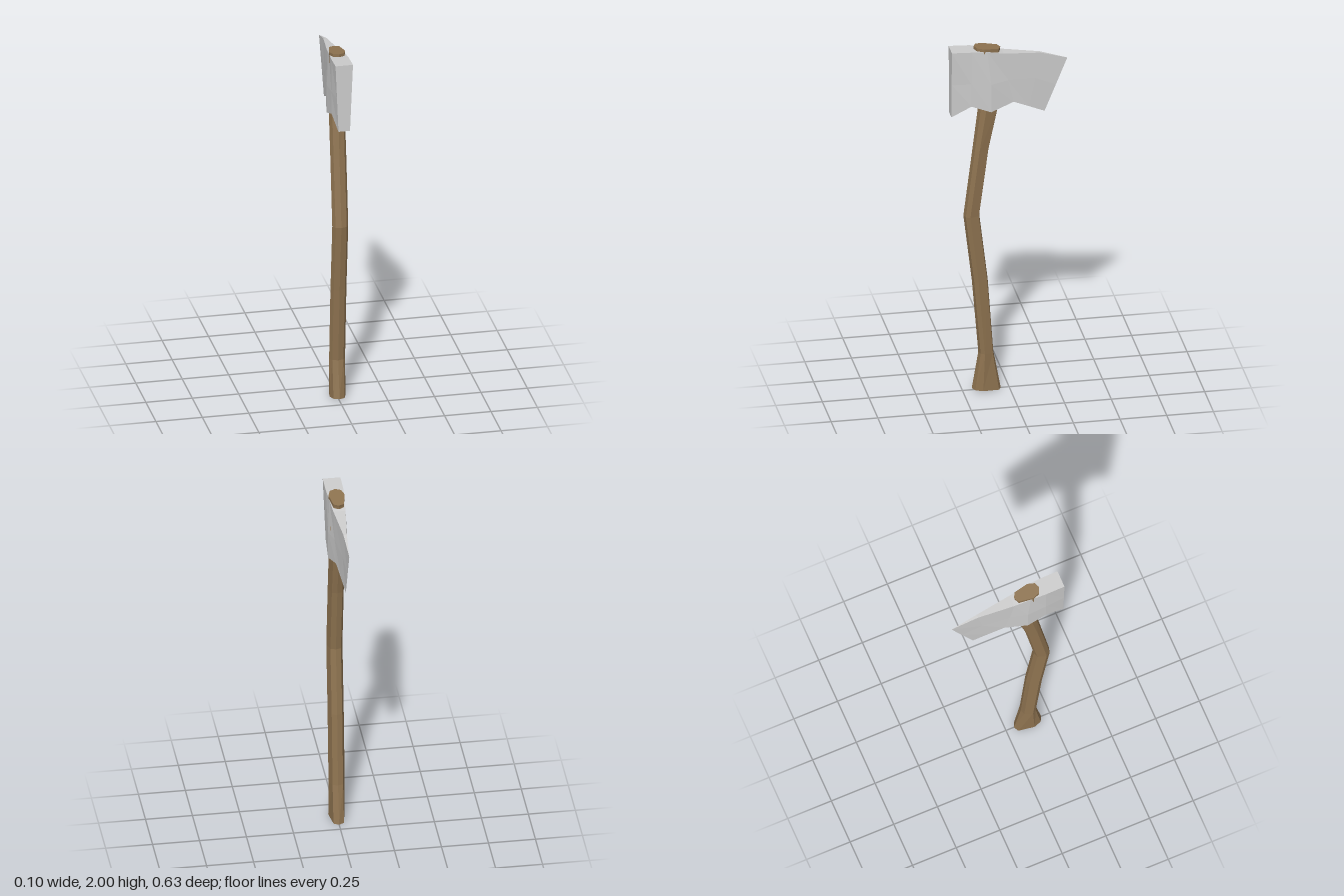
import * as THREE from 'three';

const wood = new THREE.MeshStandardMaterial({ color: 0x8e7350, flatShading: true });
const steel = new THREE.MeshStandardMaterial({ color: 0xcccccc, flatShading: true });

// Skin a row of equal-length rings into a faceted solid with closed ends.
function loft(rings) {
  const pos = [];
  const tri = (a, b, c) => pos.push(...a, ...b, ...c);
  const n = rings[0].length;
  for (let r = 0; r < rings.length - 1; r++) {
    const a = rings[r], b = rings[r + 1];
    for (let i = 0; i < n; i++) {
      const j = (i + 1) % n;
      tri(a[i], a[j], b[j]);
      tri(a[i], b[j], b[i]);
    }
  }
  const first = rings[0], last = rings[rings.length - 1];
  for (let i = 1; i < n - 1; i++) {
    tri(first[0], first[i + 1], first[i]);
    tri(last[0], last[i], last[i + 1]);
  }
  const geo = new THREE.BufferGeometry();
  geo.setAttribute('position', new THREE.Float32BufferAttribute(pos, 3));
  geo.computeVertexNormals();
  return geo;
}

function addPart(group, name, geometry, material) {
  const mesh = new THREE.Mesh(geometry, material);
  mesh.name = name;
  group.add(mesh);
}

export function createModel() {
  const axe = new THREE.Group();
  axe.name = 'axe';

  // Curved handle: egg-shaped octagon (x, share of depth from the back)
  const outline = [[0, 1], [0.03, 0.91], [0.043, 0.65], [0.028, 0.09],
    [0, 0], [-0.028, 0.09], [-0.043, 0.65], [-0.03, 0.91]];
  // Each station: front y, front z, back y, back z
  const stations = [
    [0.01, 0.20, 0, 0.045],
    [0.22, 0.165, 0.22, 0.085],
    [0.64, 0.20, 0.64, 0.115],
    [1.02, 0.245, 1.02, 0.16],
    [1.40, 0.197, 1.40, 0.11],
    [1.66, 0.165, 1.66, 0.055],
    [1.985, 0.19, 1.97, 0.05],
    [2.0, 0.19, 1.985, 0.047],
  ];
  const lerp = THREE.MathUtils.lerp;
  addPart(axe, 'handle', loft(stations.map(([yf, zf, yb, zb]) =>
    outline.map(([x, t]) => [x, lerp(yb, yf, t), lerp(zb, zf, t)]))), wood);

  // Head, poll to cutting edge: [z, y, half width] at top, middle and bottom
  const sections = [
    [[0.315, 1.99, 0.047], [0.315, 1.80, 0.039], [0.315, 1.61, 0.031]],
    [[0.21, 1.985, 0.047], [0.21, 1.80, 0.047], [0.21, 1.67, 0.046]],
    [[0.125, 1.978, 0.041], [0.105, 1.79, 0.05], [0.105, 1.63, 0.05]],
    [[0.035, 1.957, 0.032], [0.01, 1.80, 0.03], [-0.02, 1.67, 0.027]],
    [[-0.165, 1.935, 0.009], [-0.14, 1.79, 0.011], [-0.105, 1.63, 0.013]],
    [[-0.312, 1.89, 0], [-0.25, 1.74, 0], [-0.19, 1.59, 0]],
  ];
  addPart(axe, 'head', loft(sections.map((s) => [
    ...s.map(([z, y, w]) => [w, y, z]),
    ...s.slice().reverse().map(([z, y, w]) => [-w, y, z]),
  ])), steel);

  // Sliver of wood showing through both cheeks of the head
  const sliver = [[0.072, 1.845], [0.045, 1.825], [0.038, 1.745], [0.056, 1.765]];
  const side = (s) => sliver.map(([z, y]) => [s * (0.033 + 0.18 * (z - 0.02)), y, z]);
  addPart(axe, 'handleWedge', loft([side(-1), side(1)]), wood);

  return axe;
}
